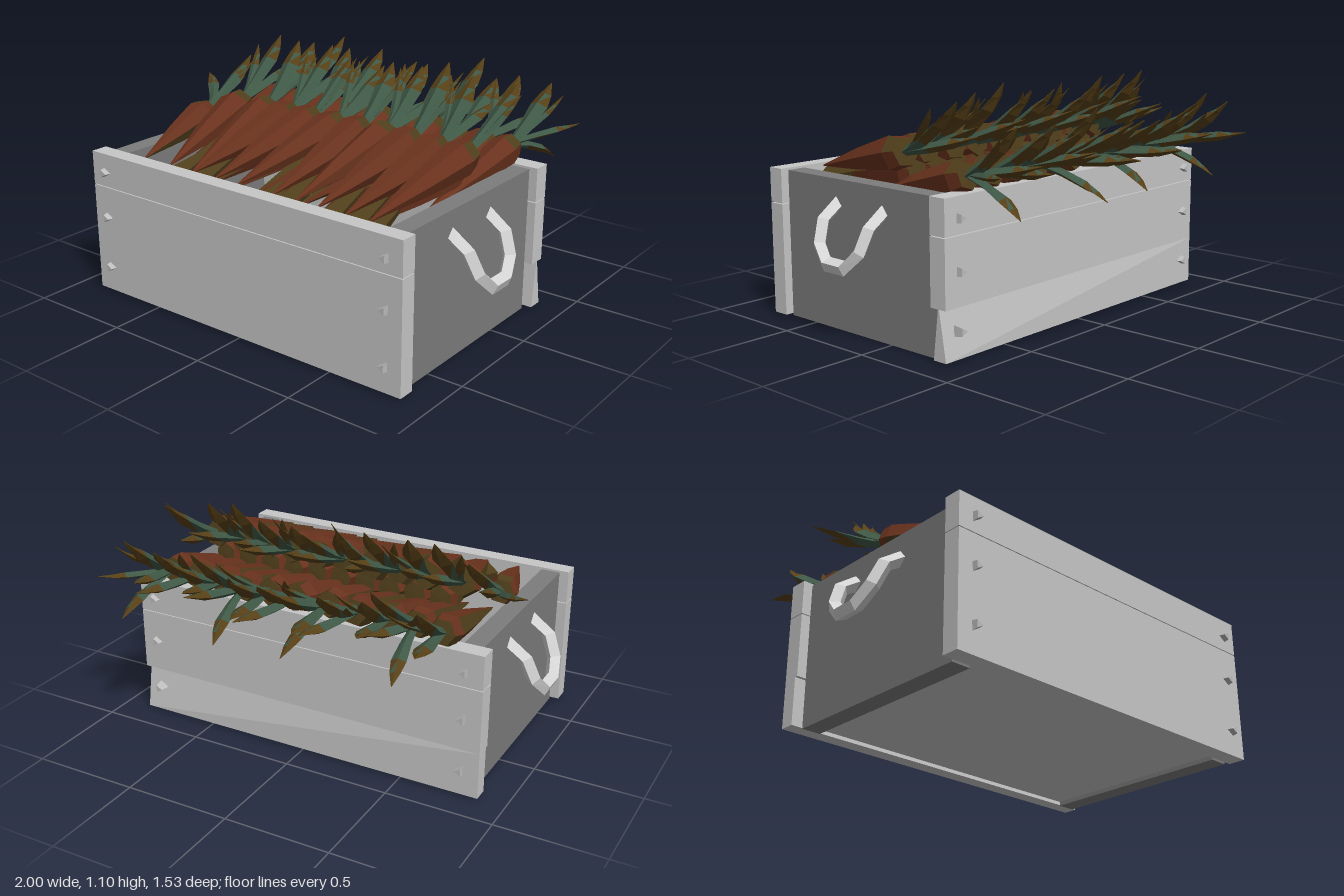
import * as THREE from 'three';

const mat = (name, color, side = THREE.FrontSide) => {
  const m = new THREE.MeshStandardMaterial({ color, flatShading: true, side });
  m.name = name;
  return m;
};

// Small seeded generator: returns a value in -1..1
let seed = 7;
const jitter = () => {
  seed = (seed * 16807) % 2147483647;
  return (seed / 2147483647) * 2 - 1;
};

export function createModel() {
  const model = new THREE.Group();
  const plankMat = mat('plankGrey', 0xc6c6c6);
  const wallMat = mat('wallGrey', 0x7c7c7c);
  const handleMat = mat('handleGrey', 0xd4d4d4);
  const boltMat = mat('boltGrey', 0xbcbcbc);
  const orange = mat('carrotOrange', 0x69321d);
  const olive = mat('carrotOlive', 0x4f3e1b);
  const green = mat('leafGreen', 0x3f5846, THREE.DoubleSide);
  const brown = mat('leafBrown', 0x574017, THREE.DoubleSide);

  const add = (name, geo, material, parent = model) => {
    const mesh = new THREE.Mesh(geo, material);
    mesh.name = name;
    parent.add(mesh);
    return mesh;
  };
  // Box given by its limits on each axis
  const box = (name, x0, x1, y0, y1, z0, z1, m) => add(name,
    new THREE.BoxGeometry(x1 - x0, y1 - y0, z1 - z0)
      .translate((x0 + x1) / 2, (y0 + y1) / 2, (z0 + z1) / 2), m);

  // Crate: front and back planks, side walls, floor
  box('frontLowerPlank', -0.875, 0.87, 0.01, 0.527, 0.67, 0.75, plankMat);
  box('frontUpperPlank', -0.875, 0.87, 0.531, 0.69, 0.67, 0.75, plankMat);
  box('backMiddlePlank', -0.875, 0.87, 0.23, 0.527, -0.365, -0.28, plankMat);
  box('backUpperPlank', -0.875, 0.87, 0.531, 0.69, -0.365, -0.28, plankMat);
  box('floorUnderside', -0.75, 0.75, 0.02, 0.035, -0.28, 0.67, plankMat);
  box('floor', -0.75, 0.75, 0.035, 0.05, -0.28, 0.67, wallMat);
  for (const s of [-1, 1]) {
    box('sideWall', s * 0.785 - 0.045, s * 0.785 + 0.045, 0, 0.68, -0.28, 0.67, wallMat);
  }

  // Warped bottom plank at the back: its top edge is pinched at one end
  const warped = box('backLowerPlank', -0.875, 0.87, 0.01, 0.23, -0.365, -0.295, plankMat);
  const wp = warped.geometry.attributes.position;
  for (let i = 0; i < wp.count; i++) {
    if (wp.getY(i) > 0.2 && wp.getX(i) > 0) wp.setZ(i, wp.getZ(i) < -0.33 ? -0.328 : -0.322);
  }

  // Three-sided bolts on both faces
  for (const x of [-0.79, 0.79]) {
    for (const y of [0.13, 0.38, 0.6]) {
      for (const [z, s] of [[0.75, 1], [-0.365, -1]]) {
        const geo = new THREE.CylinderGeometry(0.02, 0.028, 0.045, 3).rotateY(x > 0 ? 0.5 : -0.5);
        const bolt = add('bolt', geo, boltMat);
        bolt.rotation.x = s * Math.PI / 2;
        bolt.position.set(x, y, z + s * 0.003);
      }
    }
  }

  // Hanging handles, mirrored
  const path = new THREE.CatmullRomCurve3([
    [0.82, 0.57, 0.34], [0.88, 0.55, 0.34], [0.94, 0.43, 0.325], [0.965, 0.35, 0.27],
    [0.965, 0.345, 0.12], [0.94, 0.42, 0.06], [0.88, 0.55, 0.045], [0.82, 0.57, 0.045],
  ].map((p) => new THREE.Vector3(...p)));
  for (const s of [1, -1]) {
    add('handle', new THREE.TubeGeometry(path, 7, 0.034, 4), handleMat).scale.x = s;
  }

  // Leaf: diamond cross-sections along a bending line, green with a brown end
  const leafSections = [[0.024, 0.02], [0.034, 0.026], [0.047, 0.026], [0.032, 0.012], [0.002, 0.002]];
  const leafSteps = [0, 0.33, 0.33, 0.17, 0.17];
  function leaf(parent, start, yaw, pitch, length, bend, size) {
    const pos = [], index = [];
    const at = start.clone();
    leafSections.forEach(([w, t], k) => {
      const a = pitch + bend * k, b = yaw * (1 + 0.25 * k);
      const dir = new THREE.Vector3(Math.sin(b) * Math.cos(a), Math.sin(a), -Math.cos(b) * Math.cos(a));
      const side = new THREE.Vector3(Math.cos(b), 0, Math.sin(b));
      const up = new THREE.Vector3().crossVectors(side, dir);
      at.addScaledVector(dir, leafSteps[k] * length);
      for (const [u, v] of [[1, 0], [0, 1], [-1, 0], [0, -1]]) {
        const p = at.clone().addScaledVector(side, u * w * size).addScaledVector(up, v * t * size);
        pos.push(p.x, p.y, p.z);
      }
      if (k === 0) return;
      for (let j = 0; j < 4; j++) {
        const c = (k - 1) * 4 + j, d = (k - 1) * 4 + (j + 1) % 4;
        index.push(c, d, c + 4, d, d + 4, c + 4);
      }
    });
    const geo = new THREE.BufferGeometry();
    geo.setAttribute('position', new THREE.Float32BufferAttribute(pos, 3));
    geo.setIndex(index);
    geo.computeVertexNormals();
    // Brown end, with a few facets swapped where the colours meet
    geo.addGroup(0, 39, 0);
    geo.addGroup(39, 12, 1);
    geo.addGroup(51, 3, 0);
    geo.addGroup(54, 42, 1);
    add('leaf', geo, [green, brown], parent);
  }

  // Carrot root: six-sided, some facets olive
  function root(parent, tip, crown, r, oliveSides) {
    const dir = crown.clone().sub(tip);
    const L = dir.length();
    const profile = [[0.004, 0], [r * 0.66, L * 0.5], [r, L * 0.9], [r * 0.8, L], [0, L * 1.005]]
      .map((p) => new THREE.Vector2(...p));
    const geo = new THREE.LatheGeometry(profile, 6);
    for (let i = 0; i < 6; i++) {
      const start = i * 24;
      geo.addGroup(start, 12, oliveSides.includes(i) ? 1 : 0);
      geo.addGroup(start + 12, 6, i % 3 === 0 ? 1 : 0);
      geo.addGroup(start + 18, 6, 1);
    }
    geo.rotateY(jitter() * 0.5);
    const mesh = add('carrotRoot', geo, [orange, olive], parent);
    mesh.quaternion.setFromUnitVectors(new THREE.Vector3(0, 1, 0), dir.normalize());
    mesh.position.copy(tip);
  }

  // Two overlapping rows of carrots: [crown x, tip x]
  const rows = [
    { name: 'upperCarrot', r: 0.085, crown: [0.815, 0.035], tip: [0.68, 0.65], pitch: 0.46, low: 0.26,
      xs: [[-0.74, -0.63], [-0.59, -0.47], [-0.42, -0.33], [-0.28, -0.32], [-0.15, -0.19], [0, -0.06],
        [0.13, 0.14], [0.27, 0.26], [0.41, 0.38], [0.56, 0.52], [0.7, 0.64]] },
    { name: 'lowerCarrot', r: 0.075, crown: [0.755, -0.35], tip: [0.6, 0.3], pitch: 0.32, low: 0.1,
      xs: [[-0.68, -0.64], [-0.55, -0.52], [-0.42, -0.4], [-0.27, -0.28], [-0.13, -0.12], [0.03, 0.02],
        [0.17, 0.15], [0.29, 0.3], [0.42, 0.4], [0.56, 0.55], [0.7, 0.66]] },
  ];
  rows.forEach((row, n) => row.xs.forEach(([cx, tx], i) => {
    const g = new THREE.Group();
    g.name = row.name;
    model.add(g);
    const small = n === 0 && i === 0;
    const crown = new THREE.Vector3(cx, row.crown[0] - (small ? 0.05 : 0), row.crown[1] + (small ? 0.1 : jitter() * 0.015));
    root(g, new THREE.Vector3(tx, row.tip[0], row.tip[1]), crown, row.r * (small ? 0.85 : 1), [2, 4]);
    const flip = i % 2 ? 1 : -1;
    // Broad leaf, lower leaf and a thin wisp
    leaf(g, crown, jitter() * 0.1, row.pitch + jitter() * 0.12, 0.4 + jitter() * 0.04, 0.11, 1);
    leaf(g, crown, flip * 0.1, row.low + jitter() * 0.1, 0.39 + jitter() * 0.04, 0.03, 0.85);
    leaf(g, crown, -flip * 0.25, row.low + 0.25 + jitter() * 0.1, 0.35, 0.1, 0.45);
    if (n === 1 && i % 3 === 1) leaf(g, crown, -flip * 0.1, -0.1, 0.36, -0.13, 0.7);
  }));

  // Stray curled leaves at the two ends
  leaf(model, new THREE.Vector3(-0.74, 0.77, 0.1), -0.5, 0.3, 0.33, 0, 0.6);
  leaf(model, new THREE.Vector3(0.7, 0.76, -0.35), 0.32, 0.08, 0.36, 0.02, 0.6);

  // Carrots filling the gaps under the upper row
  for (let i = 0; i < 10; i++) {
    const x = -0.5 + i * 0.127;
    root(model, new THREE.Vector3(x * 0.94, 0.64, 0.62), new THREE.Vector3(x, 0.72, 0.02), 0.07, [0, 2, 4]);
  }

  // Olive carrots buried behind the front plank
  for (const x of [-0.47, -0.33, 0.07, 0.17, 0.4, 0.53, 0.62]) {
    const buried = add('buriedCarrot', new THREE.ConeGeometry(0.06, 0.36, 5), olive);
    buried.rotation.x = -1.3;
    buried.position.set(x, 0.66, 0.47);
  }
  return model;
}
